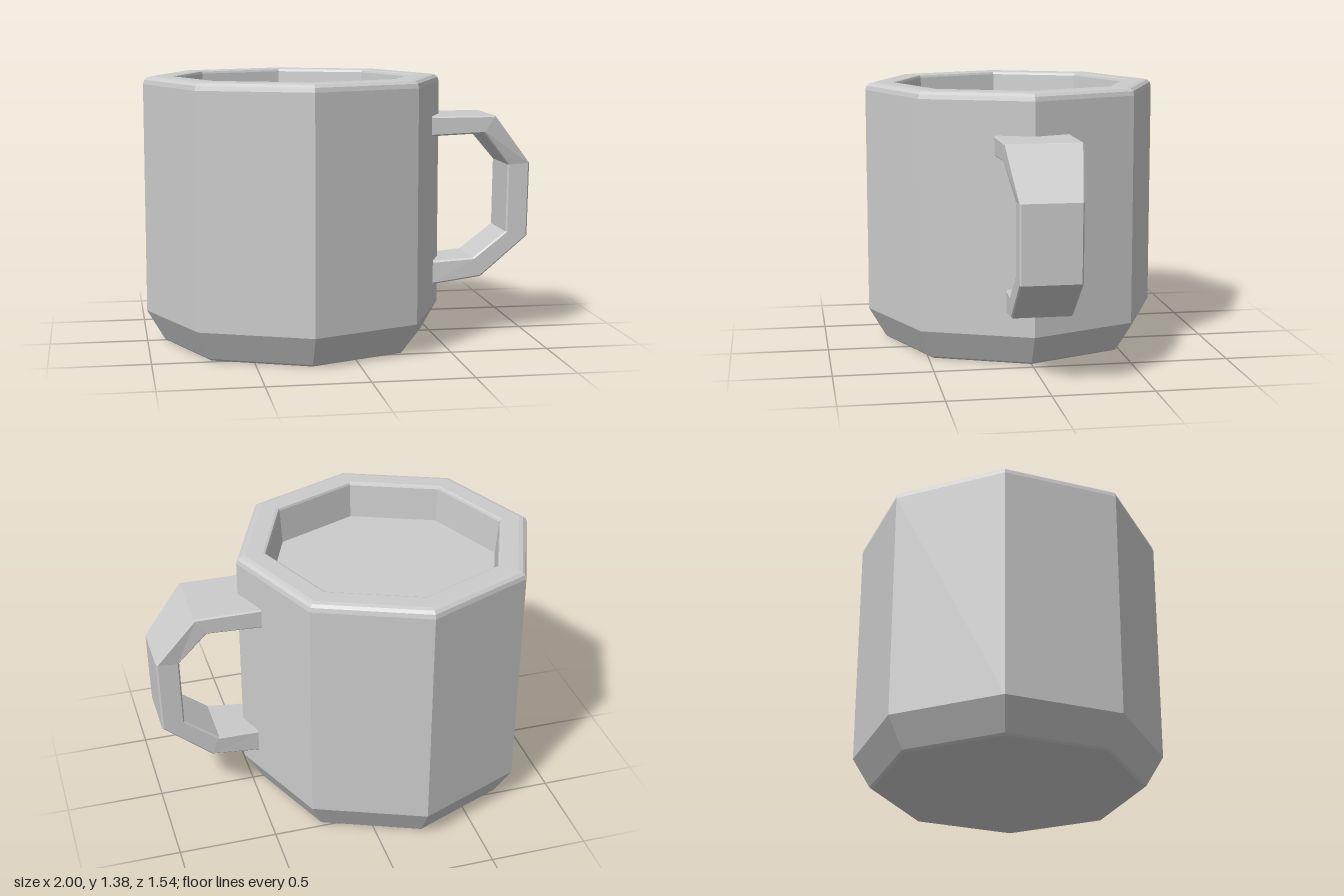
import * as THREE from 'three';

const material = new THREE.MeshStandardMaterial({ color: 0xcccccc, flatShading: true });

// Closed strap through sections [outerX, outerY, innerX, innerY, halfWidth], with chamfered corners
function strapGeometry(sections, chamfer) {
  const positions = [], index = [], n = 8;
  for (const [ox, oy, ix, iy, h] of sections) {
    const t = chamfer / Math.hypot(ox - ix, oy - iy), w = h - chamfer;
    const ring = [[1, -w], [1, w], [1 - t, h], [t, h], [0, w], [0, -w], [t, -h], [1 - t, -h]];
    for (const [v, z] of ring) positions.push(ix + (ox - ix) * v, iy + (oy - iy) * v, z);
  }
  for (let s = 0; s < sections.length - 1; s++) {
    for (let j = 0; j < n; j++) {
      const a = s * n + j, b = s * n + (j + 1) % n;
      index.push(a, b, a + n, b, b + n, a + n);
    }
  }
  // End caps
  const last = (sections.length - 1) * n;
  for (let k = 1; k < n - 1; k++) {
    index.push(0, k + 1, k, last, last + k, last + k + 1);
  }
  const geometry = new THREE.BufferGeometry();
  geometry.setAttribute('position', new THREE.Float32BufferAttribute(positions, 3));
  geometry.setIndex(index);
  geometry.computeVertexNormals();
  return geometry;
}

export function createModel() {
  const group = new THREE.Group();
  group.name = 'mug';

  // Eight-sided body: base, chamfered foot, wall, rounded rim, shallow recess
  const profile = [
    [0, 0], [0.67, 0], [0.682, 0.01], [0.77, 0.16],
    [0.77, 1.335], [0.764, 1.357], [0.748, 1.37], [0.725, 1.375],
    [0.632, 1.375], [0.622, 1.371], [0.617, 1.36],
    [0.603, 1.18], [0, 1.18],
  ].map(([r, y]) => new THREE.Vector2(r, y));
  const body = new THREE.Mesh(new THREE.LatheGeometry(profile, 8), material);
  body.name = 'body';
  body.position.x = -0.23;
  group.add(body);

  // Handle, from its upper end round to its lower end
  const handle = new THREE.Mesh(strapGeometry([
    [0.465, 1.165, 0.465, 1.063, 0.19],
    [0.80, 1.165, 0.742, 1.075, 0.19],
    [0.997, 0.912, 0.88, 0.905, 0.152],
    [0.99, 0.527, 0.875, 0.55, 0.152],
    [0.74, 0.315, 0.70, 0.415, 0.152],
    [0.49, 0.277, 0.49, 0.40, 0.135],
  ], 0.008), material);
  handle.name = 'handle';
  group.add(handle);

  return group;
}
